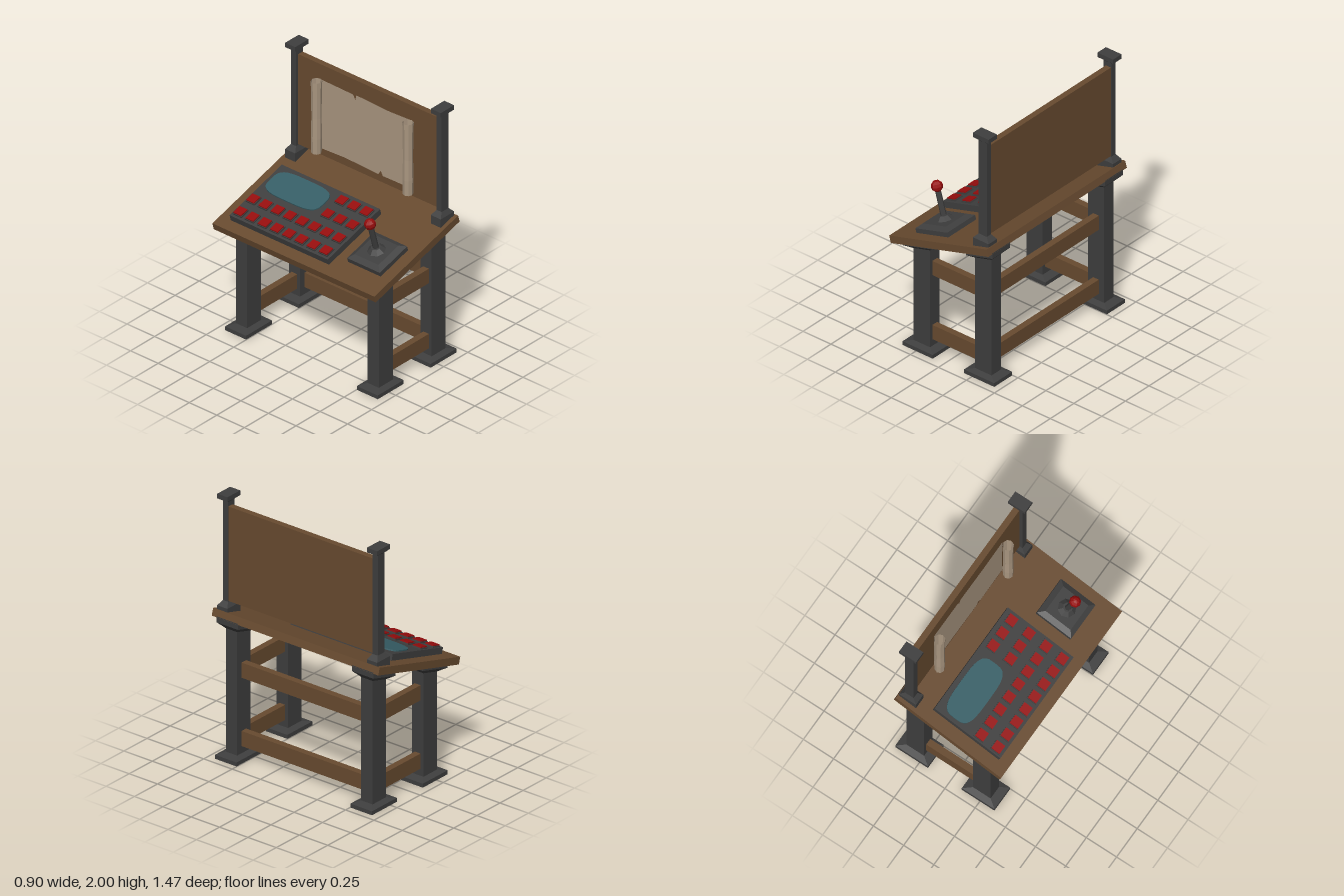
import * as THREE from 'three';

const mat = (name, color, side = THREE.FrontSide) =>
  Object.assign(new THREE.MeshStandardMaterial({ color, flatShading: true, side }), { name });

// Rectangular column through sections [y, halfX, halfZ, slope]; open below, closed on top
function loft(sections) {
  const pos = [], idx = [];
  for (const [y, hx, hz, slope = 0] of sections)
    for (const [sx, sz] of [[-1, 1], [1, 1], [1, -1], [-1, -1]])
      pos.push(sx * hx, y + slope * sx * hx, sz * hz);
  for (let s = 0; s < sections.length - 1; s++)
    for (let k = 0; k < 4; k++) {
      const a = s * 4 + k, b = s * 4 + (k + 1) % 4;
      idx.push(a, b, b + 4, a, b + 4, a + 4);
    }
  const t = (sections.length - 1) * 4;
  idx.push(t, t + 1, t + 2, t, t + 2, t + 3);
  const g = new THREE.BufferGeometry();
  g.setAttribute('position', new THREE.Float32BufferAttribute(pos, 3));
  g.setIndex(idx);
  const flat = g.toNonIndexed();
  flat.computeVertexNormals();
  return flat;
}

export function createModel() {
  const wood = mat('wood', 0x674a2f);
  const iron = mat('dark iron', 0x3e3e3e, THREE.DoubleSide);
  const red = mat('red', 0x960d0d);
  const glass = mat('teal glass', 0x365e66);
  const paper = mat('parchment', 0xa8957f, THREE.DoubleSide);

  const model = new THREE.Group();
  model.name = 'controlDesk';
  const add = (parent, name, geo, material, x = 0, y = 0, z = 0) => {
    const m = new THREE.Mesh(geo, material);
    m.name = name;
    m.position.set(x, y, z);
    parent.add(m);
    return m;
  };
  const box = (parent, name, w, h, d, material, x, y, z) =>
    add(parent, name, new THREE.BoxGeometry(w, h, d), material, x, y, z);

  // Legs with spread feet and capitals cut to the slope of the desk top
  const S = 0.285;
  const leg = (neck, flare, top, cap) => loft([
    [0, 0.135, 0.095], [0.03, 0.135, 0.095], [0.045, 0.073, 0.05],
    [neck, 0.073, 0.05, S], [flare, cap, 0.095, S], [top, cap, 0.095, S],
  ]);
  const frontLeg = leg(0.813, 0.85, 0.89, 0.133);
  const backLeg = leg(0.965, 1.0, 1.045, 0.118);
  const post = loft([
    [1.07, 0.07, 0.045], [1.15, 0.07, 0.045], [1.185, 0.036, 0.023],
    [1.945, 0.036, 0.023], [1.965, 0.07, 0.045], [2, 0.07, 0.045],
  ]);
  for (const s of [-1, 1]) {
    add(model, 'frontLeg', frontLeg, iron, -0.235, 0, s * 0.597);
    add(model, 'backLeg', backLeg, iron, 0.315, 0, s * 0.597);
    add(model, 'boardPost', post, iron, 0.34, 0, s * 0.66);
  }

  // Stretchers between the legs
  for (const y of [0.157, 0.678]) {
    for (const s of [-1, 1]) box(model, 'sideStretcher', 0.43, 0.115, 0.05, wood, 0.04, y, s * 0.597);
    box(model, 'backStretcher', 0.05, 0.115, 1.12, wood, 0.315, y, 0);
  }

  // Upright board with a parchment hung between two rolls
  box(model, 'backBoard', 0.045, 0.72, 1.29, wood, 0.35, 1.55, 0);
  const sheet = new THREE.Shape([
    [-0.42, 1.25], [-0.2, 1.26], [0.1, 1.25], [0.12, 1.285], [0.14, 1.25], [0.41, 1.255],
    [0.405, 1.5], [0.41, 1.8], [0.2, 1.79], [-0.1, 1.8], [-0.11, 1.76], [-0.13, 1.795], [-0.42, 1.8],
  ].map(p => new THREE.Vector2(...p)));
  add(model, 'parchmentSheet', new THREE.ShapeGeometry(sheet), paper, 0.316).rotation.y = -Math.PI / 2;
  const rollProfile = [[0.036, 1.24], [0.039, 1.36], [0.035, 1.52], [0.037, 1.68], [0.04, 1.81]]
    .map(p => new THREE.Vector2(...p));
  for (const z of [-0.42, 0.41])
    add(model, 'parchmentRoll', new THREE.LatheGeometry(rollProfile, 8), paper, 0.268, 0, z);

  // Sloping desk; everything on it is placed in its tilted frame
  const desk = new THREE.Group();
  desk.name = 'desk';
  desk.position.set(-0.0105, 0.9735, 0);
  desk.rotation.z = 0.278;
  model.add(desk);
  box(desk, 'deskTop', 0.907, 0.056, 1.468, wood, 0, 0, 0);

  // Button panel
  box(desk, 'panel', 0.566, 0.05, 0.89, iron, -0.083, 0.051, -0.195);
  [-0.331, -0.196, -0.056, 0.088].forEach((x, col) => {
    for (let row = col < 2 ? 0 : 5; row < 8; row++) {
      const u = (x + 0.035) / 0.962, z = -0.588 + row * 0.111;
      box(desk, 'buttonSocket', 0.08, 0.012, 0.08, iron, u, 0.08, z);
      box(desk, 'button', 0.07, 0.01, 0.07, red, u, 0.089, z);
    }
  });

  // Rounded screen, a superellipse
  const outline = [];
  for (let i = 0; i < 32; i++) {
    const a = i / 32 * Math.PI * 2, c = Math.cos(a), s = Math.sin(a);
    outline.push(new THREE.Vector2(
      0.116 * Math.sign(c) * Math.abs(c) ** 0.55, 0.243 * Math.sign(s) * Math.abs(s) ** 0.55));
  }
  const screen = new THREE.ExtrudeGeometry(new THREE.Shape(outline), { depth: 0.009, bevelEnabled: false });
  add(desk, 'screen', screen, glass, 0.048, 0.076, -0.368).rotation.x = -Math.PI / 2;

  // Lever on its bevelled base
  const lever = new THREE.Group();
  lever.name = 'lever';
  lever.position.set(-0.13, 0.028, 0.497);
  desk.add(lever);
  add(lever, 'leverBase', loft([
    [0, 0.148, 0.148], [0.035, 0.148, 0.148], [0.058, 0.108, 0.108],
  ]), iron);
  add(lever, 'leverCollar', new THREE.CylinderGeometry(0.035, 0.068, 0.03, 8), iron, 0, 0.072, 0);
  add(lever, 'leverRod', new THREE.CylinderGeometry(0.02, 0.022, 0.22, 8), iron, 0, 0.185, 0);
  add(lever, 'leverKnob', new THREE.SphereGeometry(0.043, 8, 6), red, 0, 0.304, 0);

  return model;
}
